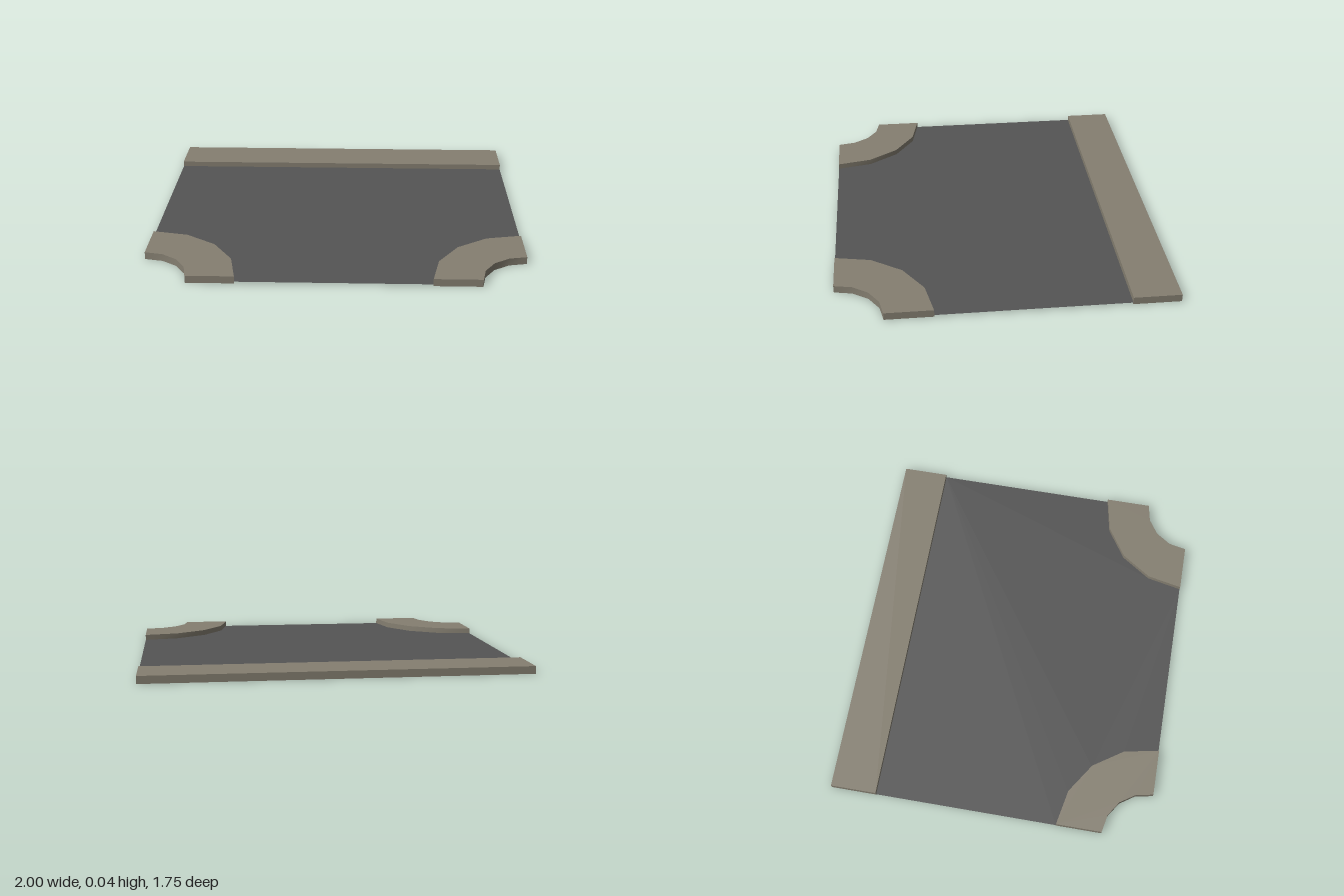
import * as THREE from 'three';
import { mergeGeometries } from 'three/addons/utils/BufferGeometryUtils.js';

const HEIGHT = 0.04, ROAD_Y = 0.01;
const FRONT = 0.875, BACK = -0.875, KERB_Z = -0.625;

// Plan points are [x, -z], so loops run counter-clockwise seen from above.
function arc(cx, r, from, to) {
  return Array.from({ length: 5 }, (_, i) => {
    const a = THREE.MathUtils.degToRad(from + (to - from) * i / 4);
    return [cx + r * Math.cos(a), -FRONT + r * Math.sin(a)];
  });
}

// Flat horizontal face at height y
function flat(points, y) {
  const shape = new THREE.Shape(points.map(p => new THREE.Vector2(...p)));
  return new THREE.ShapeGeometry(shape).rotateX(-Math.PI / 2).translate(0, y, 0);
}

// Upright wall along a run of points, smooth within the run
function wall(points) {
  const pos = [], uv = [], index = [];
  points.forEach(([x, y], i) => {
    pos.push(x, 0, -y, x, HEIGHT, -y);
    uv.push(i, 0, i, 1);
    if (i) {
      const a = 2 * i - 2;
      index.push(a, a + 2, a + 3, a, a + 3, a + 1);
    }
  });
  const g = new THREE.BufferGeometry();
  g.setAttribute('position', new THREE.Float32BufferAttribute(pos, 3));
  g.setAttribute('uv', new THREE.Float32BufferAttribute(uv, 2));
  g.setIndex(index);
  g.computeVertexNormals();
  return g;
}

// Open-bottomed slab: top face plus one wall per run and per gap between runs
function slab(runs) {
  const parts = [flat(runs.flat(), HEIGHT)];
  runs.forEach((run, i) => {
    const next = runs[(i + 1) % runs.length];
    if (run.length > 1) parts.push(wall(run));
    parts.push(wall([run[run.length - 1], next[0]]));
  });
  return mergeGeometries(parts);
}

export function createModel() {
  const group = new THREE.Group();
  const material = (name, color) => {
    const m = new THREE.MeshStandardMaterial({ color, side: THREE.DoubleSide });
    m.name = name;
    return m;
  };
  const asphalt = material('asphalt', 0x545454);
  const paving = material('paving', 0x857f71);
  const add = (name, geometry, mat) => {
    const mesh = new THREE.Mesh(geometry, mat);
    mesh.name = name;
    group.add(mesh);
  };

  // Road surface with rounded cut-outs at the front corners
  add('road', flat([
    ...arc(-1, 0.5, 90, 0), ...arc(1, 0.5, 180, 90),
    [1, -KERB_Z], [-1, -KERB_Z],
  ], ROAD_Y), asphalt);

  // Straight pavement along the back
  add('backPavement', slab([
    [[-1, -KERB_Z]], [[1, -KERB_Z]], [[1, -BACK]], [[-1, -BACK]],
  ]), paving);

  // Quarter-ring pavements at the front corners
  add('rightCornerPavement', slab([arc(-1, 0.5, 0, 90), arc(-1, 0.25, 90, 0)]), paving);
  add('leftCornerPavement', slab([arc(1, 0.5, 90, 180), arc(1, 0.25, 180, 90)]), paving);

  return group;
}
